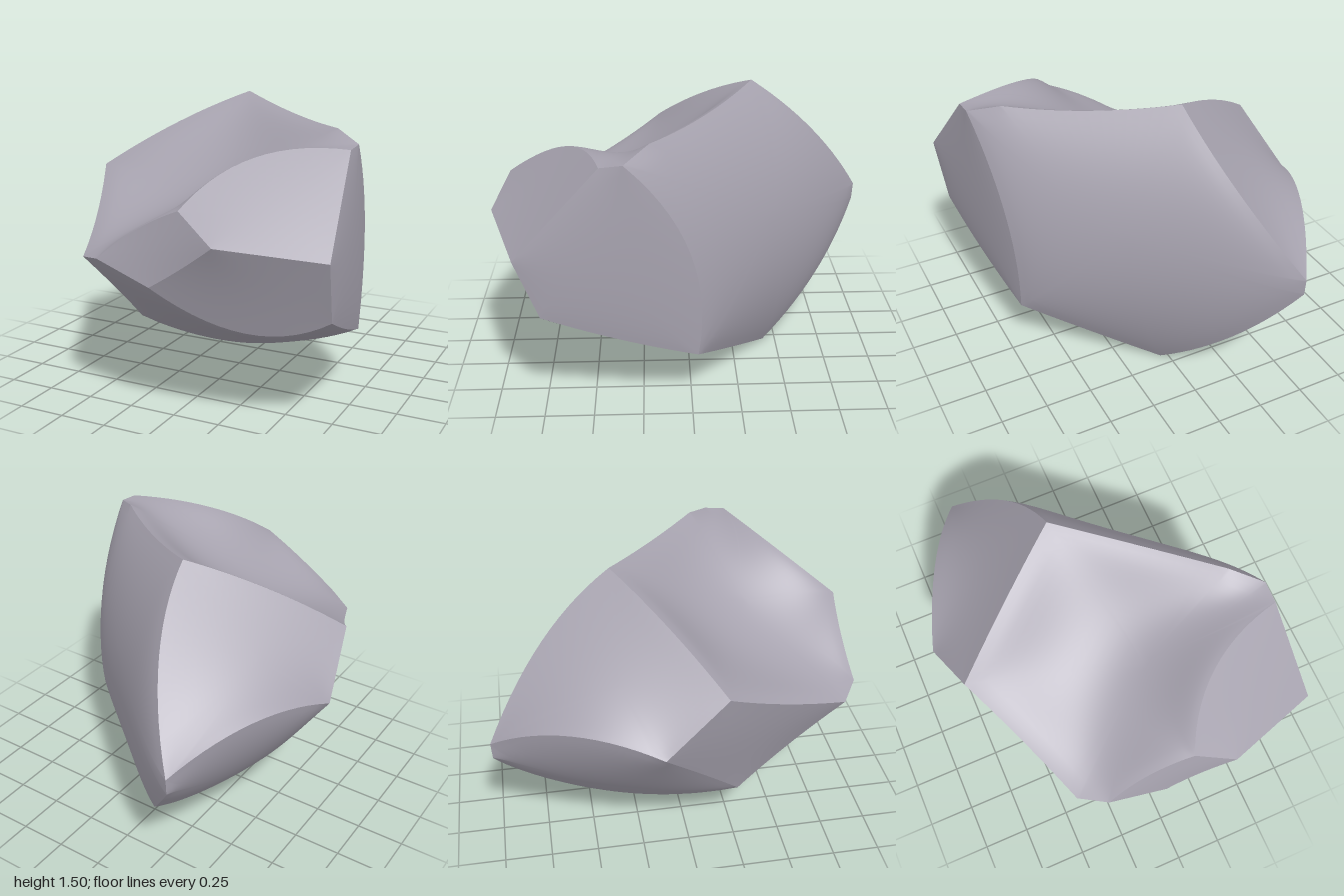
import * as THREE from 'three';

const V = (x, y, z) => new THREE.Vector3(x, y, z);

// Corners of the faceted boulder
const corners = {
  A: V(-0.1, 1.5, -0.34), B: V(-0.45, 0.76, -1), C: V(-0.85, 0.86, -0.18), D: V(-0.76, 1.11, 0.14),
  E: V(0.69, 0.31, -0.03), F: V(0.04, 0, -0.43), G: V(0.78, 1.36, 0.32), H: V(0.78, 1.35, 0.43),
  I: V(0.845, 0.92, 0.84), J: V(0.82, 0.61, 0.73), K: V(0.35, 0.97, 1), L: V(0, 0.73, 0.96),
  M: V(0.14, 1.1, 0.92), N: V(-0.31, 0.82, 0.92), O: V(-0.45, 0.79, 0.83), P: V(-0.47, 0.3, 0.27),
  Q: V(0.63, 1.41, 0.2), R: V(-0.45, 0.67, -0.995),
};

// Midpoints of the curved ridges; ridges not listed are straight
const ridges = {
  AB: V(-0.21, 1.18, -0.7), BC: V(-0.67, 0.93, -0.61), AD: V(-0.43, 1.335, -0.1), DO: V(-0.595, 0.925, 0.48),
  MN: V(-0.1, 0.98, 0.9), HM: V(0.37, 1.31, 0.61), AQ: V(0.28, 1.43, -0.075), JL: V(0.42, 0.52, 0.8),
  EJ: V(0.762, 0.45, 0.36), EG: V(0.72, 0.88, 0.01), EF: V(0.39, 0.165, -0.22), FP: V(-0.22, 0.1, -0.09),
  FR: V(-0.2, 0.305, -0.76), CP: V(-0.645, 0.57, 0.05), OP: V(-0.43, 0.53, 0.55), KL: V(0.17, 0.84, 0.97),
};

// Facets: corner loop, how far the middle swells (+) or sinks (-),
// and how gently that starts at the rim (1 at once, 2 gradually)
const facets = [
  ['upperRightFacet', 'ABCD', 0, 1],
  ['topHollow', 'ADONMHGQ', -0.11, 2],
  ['shoulderFacet', 'MHIK', 0, 1],
  ['noseFacet', 'LNMK', 0, 1],
  ['frontLowerFacet', 'KIJL', 0, 1],
  ['undersideFacet', 'LNOPFEJ', 0.09, 1],
  ['leftFacet', 'GHIJE', 0.02, 1],
  ['backFacet', 'AQGEFRB', 0.12, 1],
  ['lowerRightFacet', 'BCPFR', 0.08, 1],
  ['rightFacet', 'CDOP', 0, 1],
];

const SEGMENTS = 14, RINGS = 16;

// Points from one corner towards the next, through the ridge midpoint
function ridgePoints(p, q) {
  const a = corners[p], b = corners[q];
  const middle = ridges[[p, q].sort().join('')] ?? a.clone().lerp(b, 0.5);
  const control = middle.clone().multiplyScalar(2).addScaledVector(a, -0.5).addScaledVector(b, -0.5);
  return new THREE.QuadraticBezierCurve3(a, control, b).getPoints(SEGMENTS).slice(0, -1);
}

// Mean value blend of the outline heights at (x, y), with the total weight
function blendHeight(outline, x, y) {
  const spokes = outline.map((p) => [p.x - x, p.y - y]);
  const n = spokes.length;
  const halfTan = spokes.map(([ax, ay], i) => {
    const [bx, by] = spokes[(i + 1) % n];
    return Math.tan(Math.atan2(ax * by - ay * bx, ax * bx + ay * by) / 2);
  });
  let weight = 0, height = 0;
  spokes.forEach(([ax, ay], i) => {
    const w = (halfTan[i] + halfTan[(i + n - 1) % n]) / Math.hypot(ax, ay);
    weight += w;
    height += w * outline[i].z;
  });
  return { height: height / weight, weight };
}

// Smooth patch spanning a closed loop of ridges, domed or dished by bulge
function facetGeometry(loop, bulge, softness) {
  let outline = [...loop].flatMap((p, i) => ridgePoints(p, loop[(i + 1) % loop.length]));
  const n = outline.length;
  const centre = outline.reduce((sum, p) => sum.add(p), V(0, 0, 0)).divideScalar(n);
  const normal = V(0, 0, 0);
  outline.forEach((p, i) => {
    const q = outline[(i + 1) % n];
    normal.add(p.clone().sub(centre).cross(q.clone().sub(centre)));
  });
  normal.normalize();
  // keep the loop counter-clockwise as seen from outside
  if (normal.dot(centre.clone().sub(V(0, 0.75, 0))) < 0) {
    normal.negate();
    outline.reverse();
  }

  // work flat, with the facet's normal as local z
  const turn = new THREE.Quaternion().setFromUnitVectors(V(0, 0, 1), normal);
  const unturn = turn.clone().invert();
  outline = outline.map((p) => p.clone().sub(centre).applyQuaternion(unturn));
  const middle = blendHeight(outline, 0, 0);

  const points = [V(0, 0, middle.height + bulge)];
  const index = [];
  for (let r = 1; r <= RINGS; r++) {
    const t = r / RINGS;
    for (const p of outline) {
      const x = p.x * t, y = p.y * t;
      if (r === RINGS) {
        points.push(p.clone());
      } else {
        const { height, weight } = blendHeight(outline, x, y);
        points.push(V(x, y, height + bulge * (middle.weight / weight) ** softness));
      }
    }
    for (let i = 0; i < n; i++) {
      const j = (i + 1) % n, outer = 1 + (r - 1) * n, inner = outer - n;
      if (r === 1) index.push(0, outer + i, outer + j);
      else index.push(inner + i, outer + i, outer + j, inner + i, outer + j, inner + j);
    }
  }
  const geometry = new THREE.BufferGeometry().setFromPoints(points);
  geometry.setIndex(index);
  geometry.applyQuaternion(turn).translate(centre.x, centre.y, centre.z);
  geometry.computeVertexNormals();
  return geometry;
}

export function createModel() {
  const boulder = new THREE.Group();
  boulder.name = 'boulder';
  const stone = new THREE.MeshStandardMaterial({ color: 0xa6a2ae });
  for (const [name, loop, bulge, softness] of facets) {
    const mesh = new THREE.Mesh(facetGeometry(loop, bulge, softness), stone);
    mesh.name = name;
    boulder.add(mesh);
  }
  return boulder;
}
